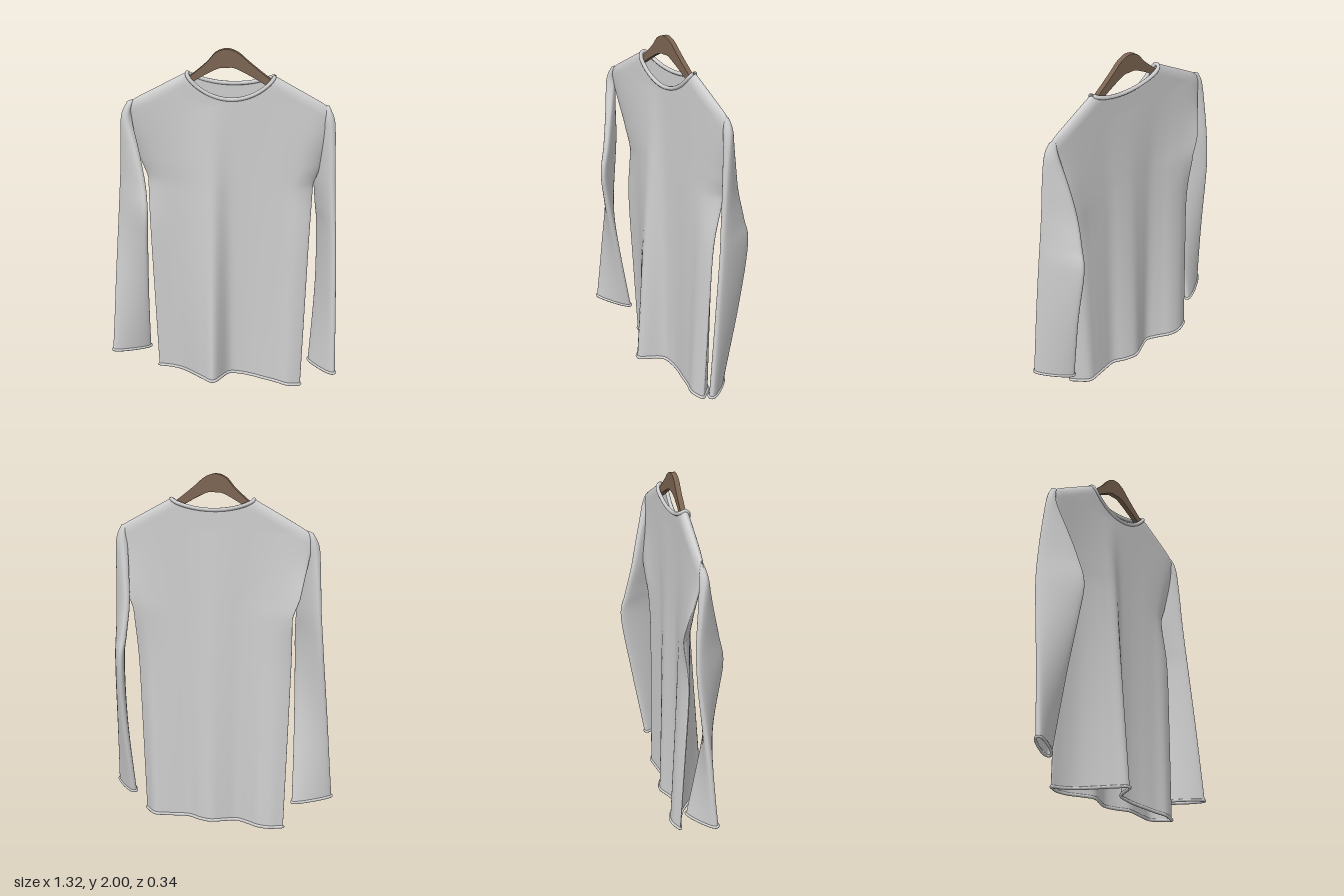
import * as THREE from 'three';

const fabric = new THREE.MeshStandardMaterial({ color: 0xcecece, side: THREE.DoubleSide });
fabric.name = 'light grey fabric';
const wood = new THREE.MeshStandardMaterial({ color: 0x7c6552 });
wood.name = 'brown wood';

const { lerp, clamp } = THREE.MathUtils;
const V = (x, y, z) => new THREE.Vector3(x, y, z);

// Smooth function on 0..1 through evenly spaced values
function spline(values) {
  const c = new THREE.SplineCurve(values.map((v, i) => new THREE.Vector2(i, v)));
  return t => c.getPoint(clamp(t, 0, 1)).y;
}

// Piecewise linear lookup in [x, value] pairs
function lookup(table, x) {
  for (let i = 1; i < table.length; i++) {
    const [x0, v0] = table[i - 1], [x1, v1] = table[i];
    if (x <= x1) return lerp(v0, v1, clamp((x - x0) / (x1 - x0), 0, 1));
  }
  return table[table.length - 1][1];
}

// Open-ended cloth tube; point(angle, v) runs around and upwards
function clothTube(point, nu, nv) {
  const pos = [], index = [];
  for (let j = 0; j <= nv; j++)
    for (let i = 0; i < nu; i++) pos.push(...point(i / nu * Math.PI * 2, j / nv).toArray());
  for (let j = 0; j < nv; j++)
    for (let i = 0; i < nu; i++) {
      const k = (i + 1) % nu;
      const a = j * nu + i, b = j * nu + k, c = a + nu, d = b + nu;
      index.push(a, c, b, b, c, d);
    }
  const g = new THREE.BufferGeometry();
  g.setAttribute('position', new THREE.Float32BufferAttribute(pos, 3));
  g.setIndex(index);
  g.computeVertexNormals();
  return g;
}

// Rolled edge along a closed loop
function rolledEdge(point, n, r, lift) {
  const pts = [];
  for (let i = 0; i < n; i++) {
    const p = point(i / n * Math.PI * 2);
    p.y += lift;
    pts.push(p);
  }
  return new THREE.TubeGeometry(new THREE.CatmullRomCurve3(pts, true), n * 2, r, 8, true);
}

// ---- Body ----
const CX = 0.025, TOP = 0.555, NECK_X = 0.035, NECK_W = 0.235;
const frontFold = spline([-.05, -.04, -.01, .05, .12, .17, .05, .03, .035, .05, .065, .09, .085]);
const backFold = spline([-.07, -.09, -.08, -.04, -.01, -.035, -.062, -.045, -.01, -.015, -.025, -.03, .03]);
const frontHem = spline([.02, .03, .045, .056, .046, .032, .018, .006]);
const halfWidth = [[0, .425], [.9, .45], [1.24, .462], [1.34, .5], [1.66, .555]];

function shoulderLine(x) {
  return lookup([[0, 1.98], [.235, 1.865], [.5, 1.72], [.535, 1.695], [.555, 1.655]], Math.abs(x - CX));
}

function bodyPoint(s, front, v) {
  // column from hem to neckline or shoulder
  const xt = CX + s * TOP, e = (xt - NECK_X) / NECK_W;
  let top = shoulderLine(xt);
  if (Math.abs(e) < 1) top = Math.min(top, 1.865 - (front ? .13 : .055) * Math.pow(1 - e * e, .8));
  const k = (s + 1) / 2;
  const y = lerp(front ? frontHem(k) : lerp(.02, .006, k), top, 1 - Math.pow(1 - v, 1.8));
  const x = CX + s * lookup(halfWidth, y);
  // folds deepen towards the hem; the sides swing back at the armpits
  const t = clamp((1.7 - y) / 1.7, 0, 1);
  const zf = lerp(.043, frontFold(k), t), zb = lerp(-.013, backFold(k), t);
  const d = clamp((shoulderLine(x) - y) / .06, 0, 1);
  const round = Math.sqrt(Math.max(0, 1 - s ** 8)) * Math.sqrt(1 - (1 - d) ** 2);
  const swing = -.05 * s ** 6 * Math.exp(-(((y - 1.28) / .22) ** 2));
  const z = (zf + zb) / 2 + swing + (front ? 1 : -1) * (zf - zb) / 2 * round;
  return V(x, y, z);
}

// ---- Sleeves: two edges, listed from cuff to shoulder ----
const leftOuter = [[.645, .145, .15], [.63, .6, .115], [.617, .95, .085], [.608, 1.12, .072],
  [.602, 1.28, .06], [.597, 1.45, .05], [.588, 1.62, .035], [.562, 1.705, .015]];
const leftInner = [[.495, .135, -.03], [.522, .6, -.11], [.518, .95, -.165], [.505, 1.1, -.14],
  [.495, 1.27, -.1], [.51, 1.45, -.06], [.53, 1.62, -.015], [.53, 1.71, .01]];
const rightOuter = [[-.65, .185, .08], [-.628, .6, .035], [-.605, .95, -.01], [-.594, 1.12, -.025],
  [-.582, 1.28, -.025], [-.572, 1.45, -.012], [-.557, 1.62, .005], [-.53, 1.695, .015]];
const rightInner = [[-.445, .165, -.035], [-.432, .6, .06], [-.42, .92, .135], [-.413, 1.1, .162],
  [-.427, 1.25, .13], [-.465, 1.42, .085], [-.512, 1.6, .035], [-.495, 1.71, .015]];

function sleevePoint(outer, inner) {
  const curve = pts => new THREE.CatmullRomCurve3(pts.map(p => V(...p)), false, 'catmullrom');
  const A = curve(outer), B = curve(inner);
  return (a, v) => {
    const p = A.getPoint(v), q = B.getPoint(v);
    const mid = p.clone().add(q).multiplyScalar(.5), half = p.clone().sub(mid);
    const n = V(-half.z, 0, half.x).normalize();
    const s = Math.sin(a);
    const thick = .027 * Math.sqrt(Math.min(1, (1 - v) * 7));
    return mid.addScaledVector(half, Math.cos(a))
      .addScaledVector(n, thick * Math.sign(s) * Math.pow(Math.abs(s), .7));
  };
}

// ---- Hanger ----
function hangerGeometry() {
  const upper = [[-.32, 1.775], [-.2, 1.838], [-.1, 1.92], [-.045, 1.98], [.015, 2], [.075, 1.98],
    [.14, 1.925], [.25, 1.84], [.37, 1.765]];
  const lower = [[.37, 1.735], [.25, 1.795], [.15, 1.853], [.06, 1.897], [.015, 1.9], [-.03, 1.895],
    [-.1, 1.86], [-.2, 1.8], [-.32, 1.74]];
  const vec = pts => pts.map(p => new THREE.Vector2(...p));
  const shape = new THREE.Shape();
  shape.moveTo(...upper[0]);
  shape.splineThru(vec(upper.slice(1)));
  shape.lineTo(...lower[0]);
  shape.splineThru(vec(lower.slice(1)));
  shape.closePath();
  const g = new THREE.ExtrudeGeometry(shape, { depth: .028, bevelEnabled: false, curveSegments: 32 });
  return g.translate(0, 0, .001);
}

export function createModel() {
  const model = new THREE.Group();
  model.name = 'shirtOnHanger';
  const add = (name, geometry, material = fabric) => {
    const m = new THREE.Mesh(geometry, material);
    m.name = name;
    model.add(m);
  };

  const body = (a, v) => bodyPoint(Math.cos(a), Math.sin(a) >= 0, v);
  add('shirtBody', clothTube(body, 160, 70));
  add('bodyHem', rolledEdge(a => body(a, 0), 120, .009, .005));
  add('collar', rolledEdge(a => bodyPoint((NECK_X + NECK_W * Math.cos(a) - CX) / TOP, Math.sin(a) >= 0, 1), 60, .011, -.004));

  for (const [side, outer, inner] of [['left', leftOuter, leftInner], ['right', rightOuter, rightInner]]) {
    const sleeve = sleevePoint(outer, inner);
    add(side + 'Sleeve', clothTube(sleeve, 48, 60));
    add(side + 'Cuff', rolledEdge(a => sleeve(a, 0), 48, .008, .004));
  }

  add('hanger', hangerGeometry(), wood);
  return model;
}
